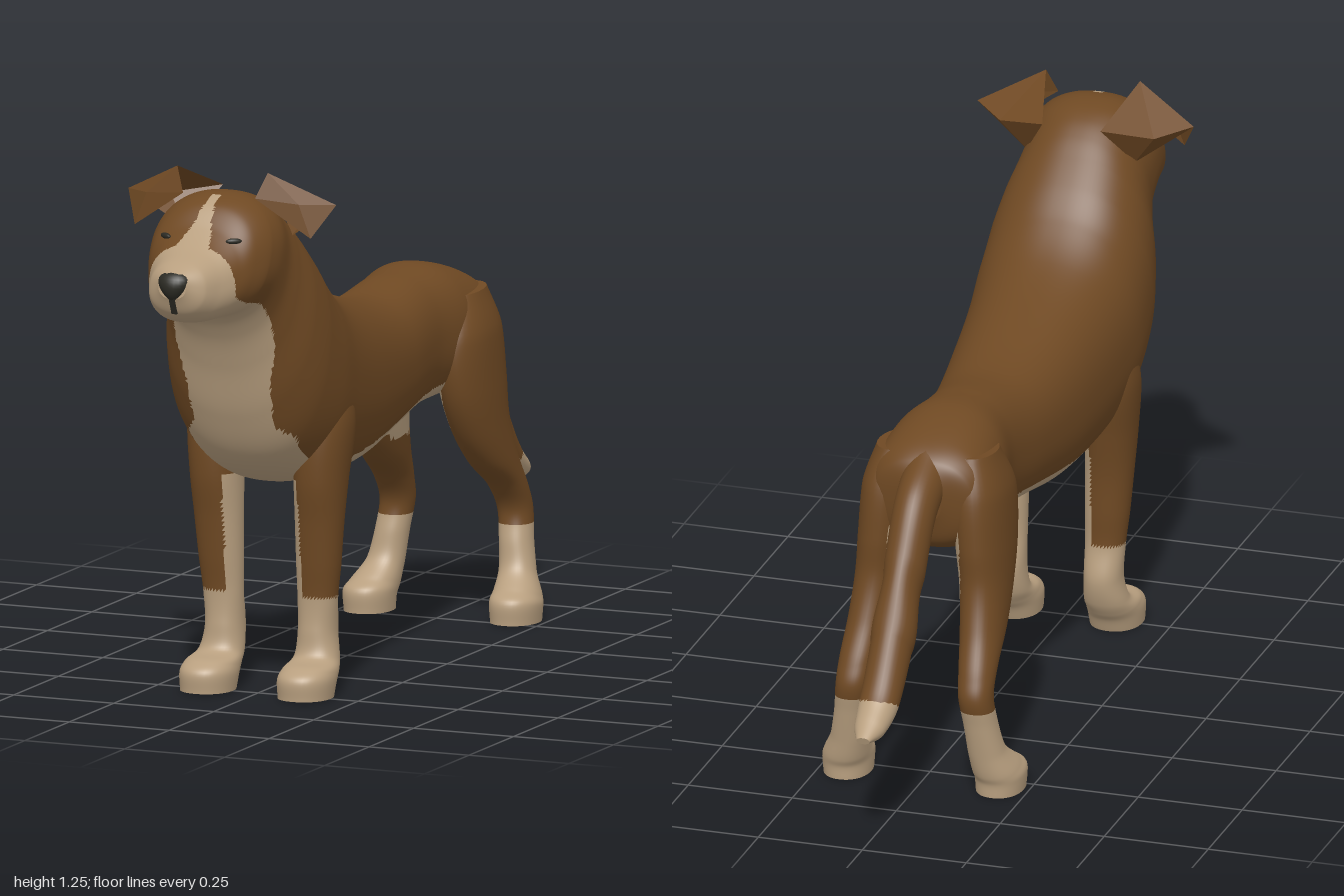
import * as THREE from 'three';

const coat = new THREE.MeshStandardMaterial({ color: 0x6f4923 });
coat.name = 'brown coat';
const cream = new THREE.MeshStandardMaterial({ color: 0xb89f7f });
cream.name = 'cream markings';
const dark = new THREE.MeshStandardMaterial({ color: 0x2b2a23 });
dark.name = 'dark nose';
const coatThin = coat.clone();
coatThin.side = THREE.DoubleSide;

// Piecewise linear lookup in [[key, value], ...]
function lookup(table, k) {
  for (let i = 1; i < table.length; i++) {
    const [k0, v0] = table[i - 1], [k1, v1] = table[i];
    if (k >= k0 && k <= k1) return v0 + (v1 - v0) * (k - k0) / (k1 - k0);
  }
  return -1;
}

// Smooth skin through rings [zA, yA, zB, yB, halfWidth, centreX]; A and B are opposite edge points.
// isCream(x, y, z) chooses the colour of each face.
function loft(name, rows, rings, segs, power, isCream) {
  const curve = f => new THREE.CatmullRomCurve3(rows.map(f));
  const edgeA = curve(r => new THREE.Vector3(0, r[1], r[0]));
  const edgeB = curve(r => new THREE.Vector3(0, r[3], r[2]));
  const across = curve(r => new THREE.Vector3(r[4], r[5] || 0, 0));
  const round = v => Math.sign(v) * Math.abs(v) ** power;
  const pos = [], faces = [[], []];
  for (let i = 0; i <= rings; i++) {
    const t = i / rings, a = edgeA.getPoint(t), b = edgeB.getPoint(t), c = across.getPoint(t);
    for (let j = 0; j < segs; j++) {
      const ang = j / segs * Math.PI * 2, u = (1 + round(Math.cos(ang))) / 2;
      pos.push(c.y + c.x * round(Math.sin(ang)), b.y + (a.y - b.y) * u, b.z + (a.z - b.z) * u);
    }
  }
  const face = (...ids) => {
    const m = [0, 1, 2].map(k => ids.reduce((s, id) => s + pos[id * 3 + k], 0) / 3);
    faces[isCream(...m) ? 1 : 0].push(...ids);
  };
  for (let i = 0; i < rings; i++) for (let j = 0; j < segs; j++) {
    const a = i * segs + j, c = i * segs + (j + 1) % segs;
    face(a, a + segs, c);
    face(c, a + segs, c + segs);
  }
  // End caps with their own vertices, so their edges stay sharp
  for (const end of [0, rings]) {
    const first = pos.length / 3, mid = [0, 0, 0];
    for (let j = 0; j < segs; j++) for (let k = 0; k < 3; k++) {
      const v = pos[(end * segs + j) * 3 + k];
      pos.push(v);
      mid[k] += v / segs;
    }
    pos.push(...mid);
    for (let j = 0; j < segs; j++) {
      const p = first + j, q = first + (j + 1) % segs;
      if (end) face(first + segs, q, p); else face(first + segs, p, q);
    }
  }
  const g = new THREE.BufferGeometry();
  g.setAttribute('position', new THREE.Float32BufferAttribute(pos, 3));
  g.setIndex([...faces[0], ...faces[1]]);
  g.addGroup(0, faces[0].length, 0);
  g.addGroup(faces[0].length, faces[1].length, 1);
  g.computeVertexNormals();
  const mesh = new THREE.Mesh(g, [coat, cream]);
  mesh.name = name;
  return mesh;
}

// Half width of the cream bib, muzzle and blaze by height
const bib = [[0.45, 0.08], [0.5, 0.1], [0.55, 0.13], [0.62, 0.135], [0.65, 0.1], [0.75, 0.105], [0.85, 0.125],
  [0.95, 0.12], [1.0, 0.105], [1.05, 0.085], [1.1, 0.042], [1.15, 0.02], [1.21, 0.008]];

function bodyMarks(x, y, z) {
  if (z > 0.87) return true;
  if (z > (y > 0.95 ? 0.73 : 0.45) && Math.abs(x) < lookup(bib, y)) return true;
  return z < 0.5 && z > -0.36 && y < 0.505 + (0.38 - z) * 0.12;
}

// Rump, trunk, neck and head: top z, top y, bottom z, bottom y, half width
const bodyRows = [
  [-0.57, 0.76, -0.565, 0.64, 0.05], [-0.55, 0.79, -0.54, 0.58, 0.12], [-0.5, 0.82, -0.48, 0.55, 0.15],
  [-0.37, 0.853, -0.37, 0.54, 0.142], [-0.25, 0.845, -0.25, 0.532, 0.125], [-0.07, 0.825, -0.07, 0.505, 0.143],
  [0.17, 0.875, 0.13, 0.47, 0.17], [0.33, 0.935, 0.36, 0.472, 0.19], [0.42, 1.0, 0.5, 0.5, 0.2],
  [0.48, 1.065, 0.6, 0.565, 0.197], [0.53, 1.115, 0.66, 0.67, 0.183], [0.57, 1.152, 0.7, 0.79, 0.162],
  [0.61, 1.18, 0.735, 0.87, 0.152], [0.655, 1.198, 0.78, 0.925, 0.155], [0.71, 1.203, 0.825, 0.93, 0.15],
  [0.77, 1.185, 0.86, 0.93, 0.132], [0.825, 1.135, 0.9, 0.932, 0.11], [0.88, 1.1, 0.935, 0.94, 0.09],
  [0.94, 1.078, 0.965, 0.962, 0.07], [0.98, 1.06, 0.985, 1.0, 0.035]];

// Legs from the top down: front z, front y, back z, back y, half width, centre x
const frontLegRows = [
  [0.48, 0.75, 0.34, 0.75, 0.05, 0.125], [0.51, 0.62, 0.34, 0.62, 0.066, 0.133], [0.51, 0.5, 0.365, 0.5, 0.06, 0.13],
  [0.493, 0.4, 0.382, 0.4, 0.056, 0.126], [0.48, 0.3, 0.387, 0.3, 0.052, 0.122], [0.47, 0.22, 0.39, 0.22, 0.047, 0.118],
  [0.472, 0.15, 0.375, 0.14, 0.045, 0.116], [0.485, 0.09, 0.388, 0.08, 0.052, 0.119],
  [0.55, 0.072, 0.405, 0.05, 0.061, 0.122], [0.58, 0.05, 0.42, 0.03, 0.064, 0.122], [0.58, 0.002, 0.433, 0, 0.061, 0.122]];
const hindLegRows = [
  [-0.36, 0.78, -0.52, 0.79, 0.05, 0.09], [-0.31, 0.68, -0.555, 0.7, 0.065, 0.107], [-0.32, 0.56, -0.565, 0.58, 0.062, 0.117],
  [-0.37, 0.455, -0.565, 0.49, 0.056, 0.125], [-0.44, 0.375, -0.595, 0.39, 0.05, 0.134],
  [-0.53, 0.31, -0.64, 0.3, 0.043, 0.143], [-0.57, 0.25, -0.657, 0.25, 0.04, 0.147], [-0.56, 0.18, -0.645, 0.18, 0.039, 0.155],
  [-0.545, 0.12, -0.63, 0.1, 0.043, 0.165], [-0.5, 0.08, -0.62, 0.05, 0.054, 0.178],
  [-0.465, 0.055, -0.612, 0.03, 0.058, 0.183], [-0.465, 0.002, -0.61, 0, 0.055, 0.183]];

// Tail from tip to root
const tailRows = [
  [-0.998, 0.275, -0.992, 0.258, 0.016], [-0.955, 0.305, -0.94, 0.25, 0.036], [-0.9, 0.35, -0.855, 0.278, 0.046],
  [-0.82, 0.465, -0.755, 0.37, 0.048], [-0.725, 0.62, -0.66, 0.51, 0.048], [-0.64, 0.74, -0.58, 0.64, 0.05],
  [-0.53, 0.805, -0.48, 0.7, 0.055]];

const frontLegMarks = (x, y) => y < 0.225 || (Math.abs(x) < 0.095 && y < 0.5);
const hindLegMarks = (x, y) => y < 0.215 || (Math.abs(x) < 0.085 && y > 0.42 && y < 0.62);
const tailMarks = (x, y, z) => y < 0.29 - (z + 0.84) * 0.6;

// Folded ear: a shell rising from the head and a flap falling forward
function makeEar() {
  const corners = [
    0.113, 1.253, 0.70, // 0 ridge, inner
    0.26, 1.18, 0.645, // 1 ridge, outer
    0.07, 1.185, 0.54, // 2 back of base
    0.185, 1.165, 0.58, // 3 back bulge
    0.13, 1.09, 0.61, // 4 under base
    0.22, 1.108, 0.70, // 5 flap tip
    0.09, 1.195, 0.72, // 6 front of base
    0.19, 1.185, 0.7]; // 7 flap middle
  const g = new THREE.BufferGeometry();
  g.setAttribute('position', new THREE.Float32BufferAttribute(corners, 3));
  g.setIndex([0, 3, 2, 0, 1, 3, 2, 3, 4, 3, 1, 4, 0, 7, 1, 1, 7, 5, 0, 6, 7, 6, 5, 7]);
  const flat = g.toNonIndexed();
  flat.computeVertexNormals();
  return new THREE.Mesh(flat, coatThin);
}

export function createModel() {
  const dog = new THREE.Group();
  dog.name = 'dog';
  dog.add(loft('body', bodyRows, 220, 112, 0.87, bodyMarks));
  dog.add(loft('tail', tailRows, 70, 32, 1, tailMarks));

  for (const side of [1, -1]) {
    const word = side > 0 ? 'left' : 'right';
    const mirror = rows => rows.map(r => [...r.slice(0, 5), r[5] * side]);
    dog.add(loft(word + 'FrontLeg', mirror(frontLegRows), 90, 40, 0.92, frontLegMarks));
    dog.add(loft(word + 'HindLeg', mirror(hindLegRows), 90, 40, 0.92, hindLegMarks));

    const ear = makeEar();
    ear.name = word + 'Ear';
    ear.scale.x = side;
    dog.add(ear);

    const eye = new THREE.Mesh(new THREE.SphereGeometry(1, 16, 10), dark);
    eye.name = word + 'Eye';
    eye.scale.set(0.019, 0.007, 0.007);
    eye.position.set(0.085 * side, 1.114, 0.828);
    eye.rotation.y = 0.6 * side;
    dog.add(eye);
  }

  // Nose, narrowing downwards
  const noseShape = new THREE.SphereGeometry(1, 24, 16);
  const p = noseShape.attributes.position;
  for (let i = 0; i < p.count; i++) p.setX(i, p.getX(i) * (0.8 + 0.35 * p.getY(i)));
  noseShape.computeVertexNormals();
  const nose = new THREE.Mesh(noseShape, dark);
  nose.name = 'nose';
  nose.scale.set(0.046, 0.036, 0.033);
  nose.position.set(0, 1.027, 0.967);
  dog.add(nose);

  // Groove between nose and mouth
  const groove = new THREE.Mesh(new THREE.BoxGeometry(0.014, 0.04, 0.009), dark);
  groove.name = 'lipGroove';
  groove.position.set(0, 0.983, 0.975);
  groove.rotation.x = 0.4;
  dog.add(groove);
  return dog;
}
